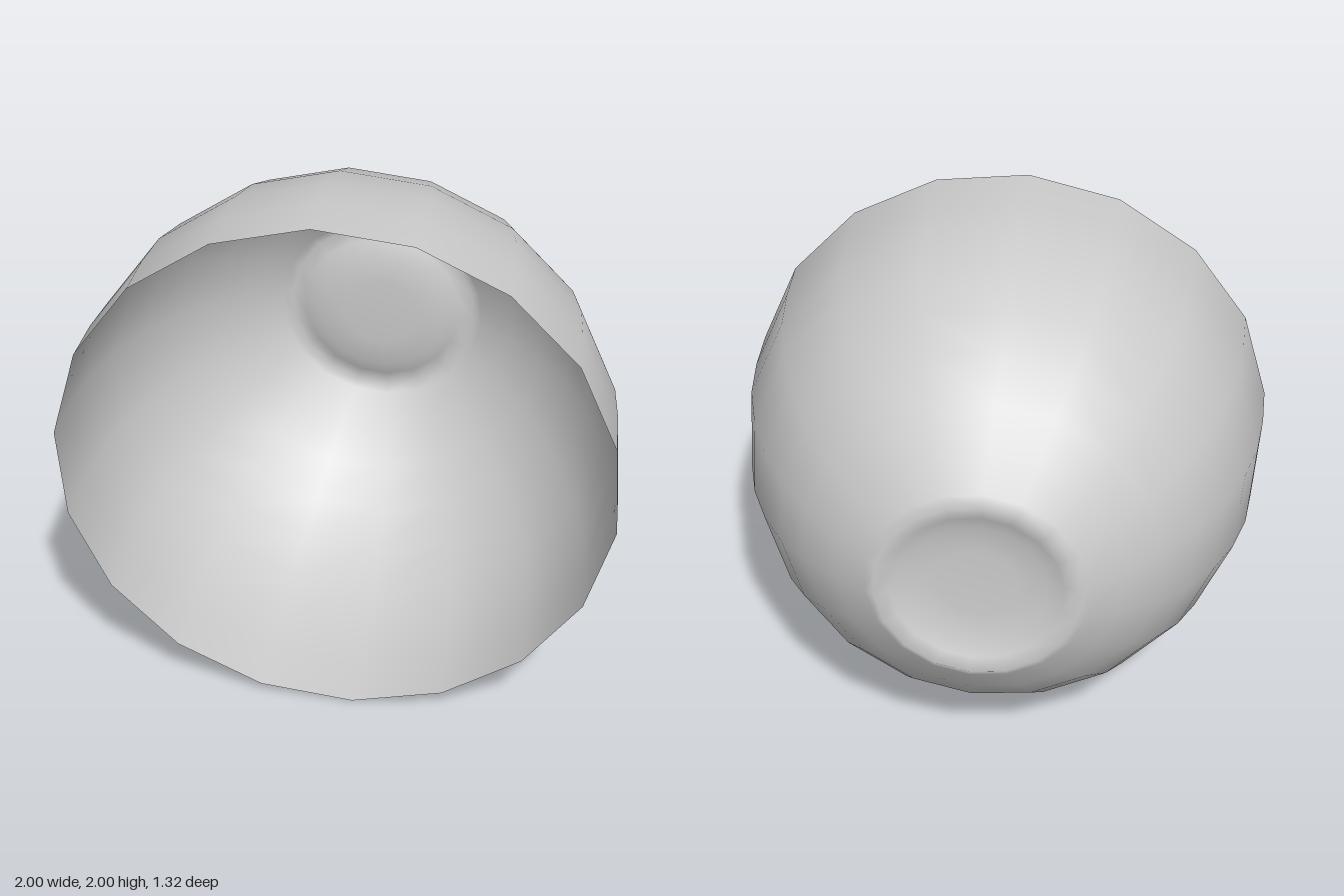
import * as THREE from 'three';

export function createModel() {
  const group = new THREE.Group();
  const material = new THREE.MeshStandardMaterial({ color: 0xcccccc, side: THREE.DoubleSide });

  // Wall profile as [radius, depth below the rim], from the dimpled base out to the rim
  const profile = [
    [0, 1.175], [0.14, 1.175], [0.25, 1.185], [0.31, 1.215], [0.365, 1.23], [0.4, 1.205],
    [0.52, 1.13], [0.652, 1.02], [0.765, 0.89], [0.857, 0.74],
    [0.93, 0.57], [0.978, 0.39], [0.998, 0.2], [1.004, 0],
  ].map(([r, d]) => new THREE.Vector2(r, -d));

  // Thin 18-sided bowl, mouth turned to the front
  const geometry = new THREE.LatheGeometry(profile, 18, THREE.MathUtils.degToRad(3.7));
  geometry.rotateX(Math.PI / 2);
  const bowl = new THREE.Mesh(geometry, material);
  bowl.name = 'bowl';

  // Lies on its side with the mouth leaning slightly right and down
  const mouth = new THREE.Vector3(-0.058, -0.033, 1).normalize();
  bowl.quaternion.setFromUnitVectors(new THREE.Vector3(0, 0, 1), mouth);
  bowl.position.set(0, 1, 0.59);
  group.add(bowl);
  return group;
}
